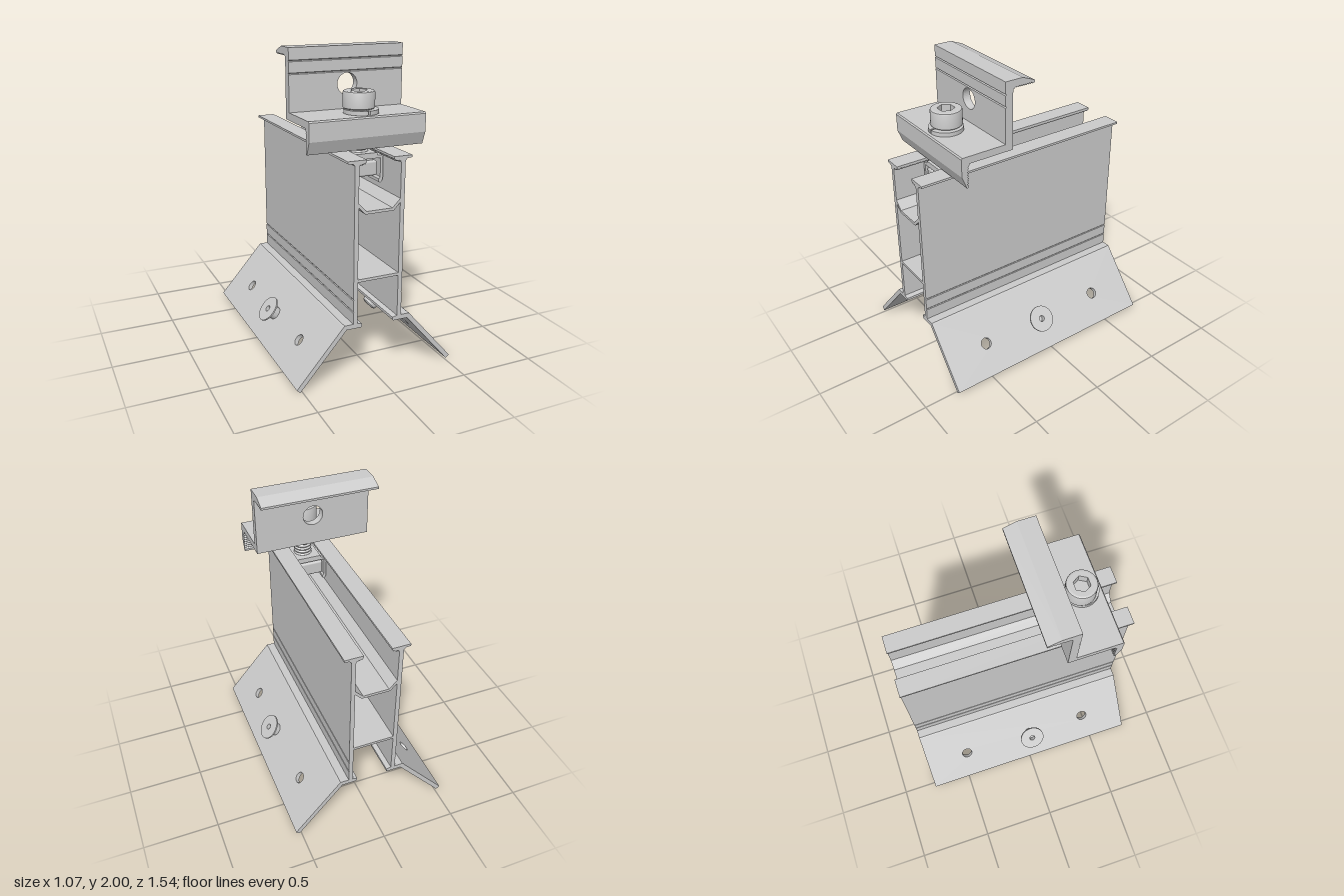
import * as THREE from 'three';
import { toCreasedNormals } from 'three/addons/utils/BufferGeometryUtils.js';
import { RoundedBoxGeometry } from 'three/addons/geometries/RoundedBoxGeometry.js';

const material = new THREE.MeshStandardMaterial({ color: 0xcccccc, side: THREE.DoubleSide });

function add(parent, name, geometry) {
  const mesh = new THREE.Mesh(geometry, material);
  mesh.name = name;
  parent.add(mesh);
  return mesh;
}

const shapeOf = (pts) => new THREE.Shape(pts.map(([x, y]) => new THREE.Vector2(x, y)));

function circleHole(shape, x, y, r) {
  shape.holes.push(new THREE.Path().absarc(x, y, r, 0, Math.PI * 2, true));
}

// Extrude from depth a to depth b
function prism(shape, a, b) {
  const g = new THREE.ExtrudeGeometry(shape, { depth: b - a, bevelEnabled: false, curveSegments: 20 });
  return g.translate(0, 0, a);
}

// Profile given as (z, y), extruded along x
const prismX = (pts, a, b) => prism(shapeOf(pts), -b, -a).rotateY(-Math.PI / 2);

// Half profile from top centre to bottom centre, completed by mirroring
const mirrored = (half) => half.concat(half.slice().reverse().filter(p => p[0] > 0).map(([x, y]) => [-x, y]));

function lathe(pts, segments = 40) {
  const g = new THREE.LatheGeometry(pts.map(([x, y]) => new THREE.Vector2(x, y)), segments);
  return toCreasedNormals(g, 0.5);
}

// Row of small saw teeth between two points, raised along (nx, ny)
function teeth([x0, y0], [x1, y1], n, nx, ny) {
  const out = [];
  for (let i = 0; i <= n; i++) {
    const t = i / n, m = (i + 0.5) / n;
    out.push([x0 + (x1 - x0) * t, y0 + (y1 - y0) * t]);
    if (i < n) out.push([x0 + (x1 - x0) * m + nx, y0 + (y1 - y0) * m + ny]);
  }
  return out;
}

const LENGTH = 0.77;   // half length of the rail
const BX = 0.008, BZ = 0.463; // clamp bolt axis

function createRail() {
  const rail = new THREE.Group();
  rail.name = 'rail';

  // Cross webs joining the walls
  add(rail, 'lowerWeb', prism(shapeOf([[-0.14, 0.65], [0.14, 0.65], [0.14, 0.668], [-0.14, 0.668]]), -LENGTH, LENGTH));
  add(rail, 'channelFloor', prism(shapeOf(mirrored([
    [0, 1.09], [0.085, 1.09], [0.14, 1.145], [0.14, 1.12], [0.093, 1.072], [0, 1.072]])), -LENGTH, LENGTH));

  for (const s of [1, -1]) {
    const side = new THREE.Group();
    side.name = s > 0 ? 'leftSide' : 'rightSide';
    side.rotation.y = s > 0 ? 0 : Math.PI;
    rail.add(side);

    // Wall with top flange, grooves and foot flange
    add(side, 'wall', prism(shapeOf([
      [0.112, 0.352], [0.205, 0.352], [0.23, 0.375], [0.222, 0.382], [0.165, 0.382],
      [0.165, 0.455], [0.161, 0.46], [0.165, 0.465], [0.165, 0.535], [0.161, 0.54], [0.165, 0.545],
      [0.165, 1.37], [0.178, 1.383], [0.21, 1.386], [0.21, 1.4], [0.09, 1.4], [0.09, 1.386],
      ...teeth([0.095, 1.383], [0.13, 1.375], 4, 0, -0.009),
      [0.137, 1.36], [0.137, 0.382], [0.105, 0.375], [0.105, 0.358]]), -LENGTH, LENGTH));

    // Sloping wing, drilled at both ends and at its screw
    const wing = new THREE.Group();
    wing.name = 'wing';
    const d = new THREE.Vector3(0.655, -0.756, 0).normalize();
    const n = new THREE.Vector3(-d.y, d.x, 0);
    wing.applyMatrix4(new THREE.Matrix4()
      .makeBasis(d, new THREE.Vector3(0, 0, -1), n).setPosition(0.202, 0.36, 0));
    side.add(wing);
    const plate = shapeOf([[0, -LENGTH], [0.476, -LENGTH], [0.476, LENGTH], [0, LENGTH]]);
    for (const z of [-0.464, 0.464]) circleHole(plate, 0.264, z, 0.037);
    add(wing, 'wingPlate', prism(plate, 0, 0.03));

    // Sealing screw: rounded head inside, neck and thin washer outside
    const screw = add(wing, 'wingScrew', lathe([
      [0, -0.045], [0.02, -0.045], [0.02, -0.08], [0.04, -0.08], [0.052, -0.072], [0.057, -0.058],
      [0.057, -0.024], [0.064, -0.02], [0.064, 0], [0.03, 0], [0.03, 0.03], [0.044, 0.03],
      [0.044, 0.07], [0.036, 0.075], [0.036, 0.092], [0.088, 0.092], [0.088, 0.102],
      [0.02, 0.102], [0.02, 0.07], [0, 0.07]]).rotateX(Math.PI / 2));
    screw.position.set(0.267, -0.04 * s, 0);
  }
  return rail;
}

function createClamp() {
  const clamp = new THREE.Group();
  clamp.name = 'clamp';
  const a = -0.378, b = 0.394;

  // Upper jaw with two front grooves and a toothed underside
  add(clamp, 'upperJaw', prismX([
    [0.247, 1.84], [0.3, 1.84], [0.292, 1.845], [0.3, 1.85], [0.3, 1.916], [0.292, 1.921], [0.3, 1.926],
    [0.3, 2], [0.18, 2], [0.095, 1.967], [0.095, 1.953],
    ...teeth([0.11, 1.948], [0.235, 1.948], 9, 0, 0.009), [0.247, 1.945]], a, b));

  // Upright with its round hole
  const upright = shapeOf([[a, 1.61], [b, 1.61], [b, 1.84], [a, 1.84]]);
  circleHole(upright, BX, 1.767, 0.067);
  add(clamp, 'upright', prism(upright, 0.247, 0.3));

  // Shelf and front lip, toothed on its inner face
  add(clamp, 'shelfAndLip', prismX([
    [0.247, 1.565], [0.55, 1.565], ...teeth([0.555, 1.55], [0.56, 1.425], 8, 0.009, 0),
    [0.562, 1.41], [0.573, 1.41], [0.605, 1.49], [0.605, 1.603], [0.598, 1.612], [0.3, 1.612],
    [0.247, 1.612]], a, b));
  return clamp;
}

function createBolt() {
  const bolt = new THREE.Group();
  bolt.name = 'clampBolt';
  bolt.position.set(BX, 0, BZ);

  // Socket head: outer wall, hexagonal recess and floor
  add(bolt, 'boltHead', lathe([
    [0, 1.642], [0.092, 1.642], [0.098, 1.648], [0.098, 1.738], [0.095, 1.746], [0.086, 1.75], [0.08, 1.75]], 48));
  const rim = new THREE.Shape().absarc(0, 0, 0.081, 0, Math.PI * 2, false);
  const hex = [];
  for (let i = 0; i < 6; i++) {
    hex.push(new THREE.Vector2(Math.cos(-i * Math.PI / 3) * 0.054, Math.sin(-i * Math.PI / 3) * 0.054));
  }
  rim.holes.push(new THREE.Path(hex));
  add(bolt, 'hexSocket', prism(rim, 0, 0.06).rotateX(-Math.PI / 2)).position.y = 1.69;
  add(bolt, 'socketFloor', new THREE.CylinderGeometry(0.06, 0.06, 0.005, 24)).position.y = 1.69;

  // Split spring washer, slightly off centre
  const ring = new THREE.Shape().absarc(0, 0, 0.108, 0.06, Math.PI * 2 - 0.06, false);
  ring.absarc(0, 0, 0.062, Math.PI * 2 - 0.06, 0.06, true);
  const washer = add(bolt, 'springWasher', prism(ring, 0, 0.026).rotateX(-Math.PI / 2));
  washer.position.set(0.01, 1.614, 0.012);
  washer.rotation.y = -Math.PI / 2;

  // Threaded shank
  const thread = [[0, 1.28]];
  for (let y = 1.28; y < 1.58; y += 0.022) thread.push([0.05, y], [0.06, y + 0.008], [0.06, y + 0.013]);
  thread.push([0.05, 1.59], [0.05, 1.65]);
  add(bolt, 'threadedShank', lathe(thread, 32));
  return bolt;
}

function createNutClip() {
  const clip = new THREE.Group();
  clip.name = 'slidingNut';
  // Hooked spring clip carrying the nut inside the channel
  add(clip, 'clip', prism(shapeOf(mirrored([
    [0, 1.38], [0.085, 1.38], [0.09, 1.364], [0.128, 1.36], [0.128, 1.21], [0.113, 1.187], [0.1, 1.193],
    [0.1, 1.212], [0.11, 1.225], [0.11, 1.345], [0, 1.345]])), BZ - 0.1, BZ + 0.1));
  add(clip, 'nut', new RoundedBoxGeometry(0.195, 0.095, 0.19, 3, 0.014)).position.set(-0.005, 1.282, BZ);
  add(clip, 'nutCollar', new THREE.BoxGeometry(0.14, 0.03, 0.15)).position.set(0, 1.335, BZ);
  return clip;
}

export function createModel() {
  const model = new THREE.Group();
  model.name = 'roofRailWithClamp';
  model.add(createRail(), createClamp(), createBolt(), createNutClip());
  return model;
}
